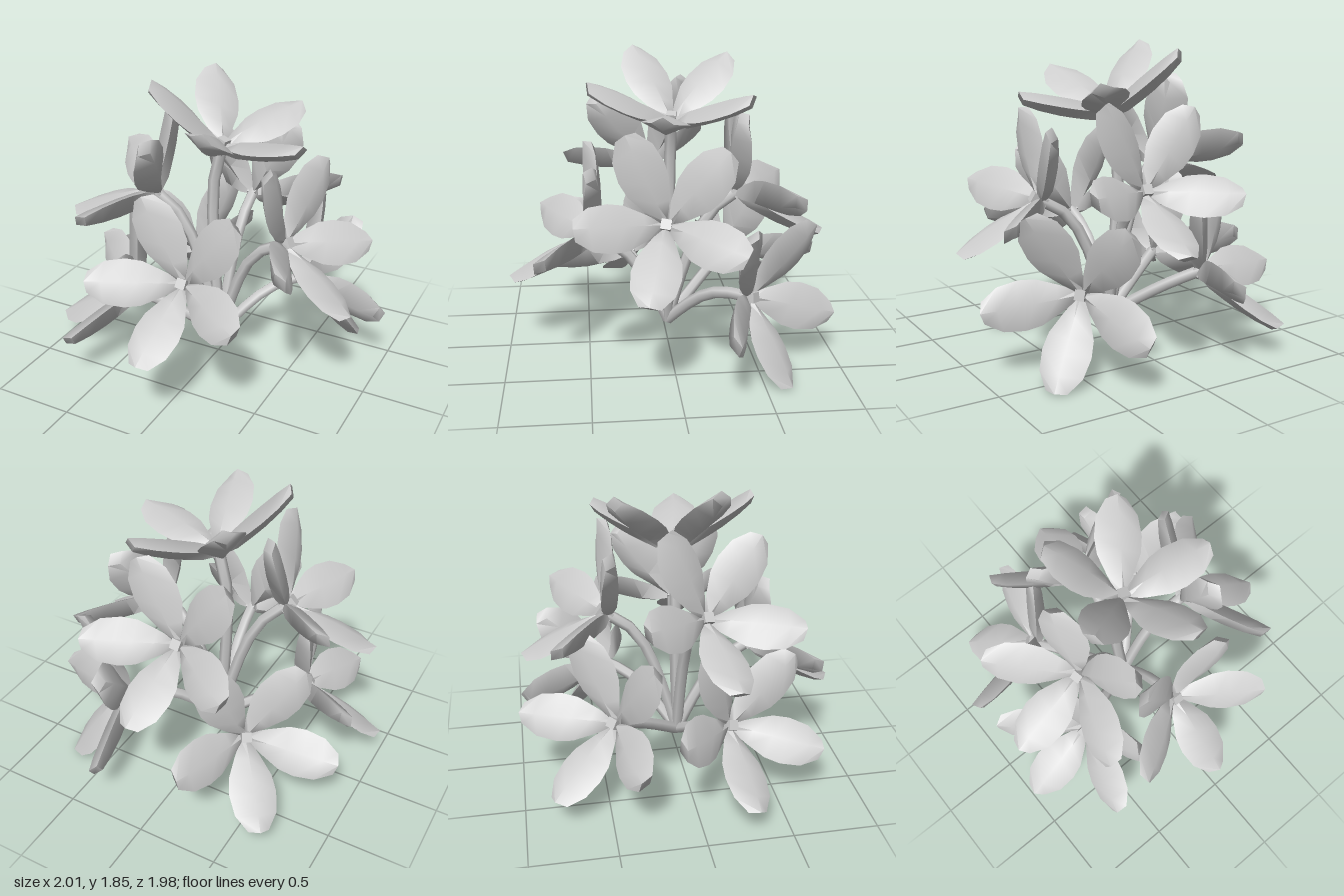
import * as THREE from 'three';
import { toCreasedNormals } from 'three/addons/utils/BufferGeometryUtils.js';

const material = new THREE.MeshStandardMaterial({ color: 0xcccccc, side: THREE.DoubleSide });
const BASE = new THREE.Vector3(0.01, 0.15, 0);

// Each flower: centre, facing axis, and the tip point that sets how it is turned
const FLOWERS = [
  { name: 'topFlower', centre: [0.01, 1.42, -0.02], axis: [0.3, 0.95, 0], tip: [0.53, 1.53, 0.075] },
  { name: 'frontFlower', centre: [0.02, 0.74, 0.46], axis: [0.04, 0.52, 0.85], tip: [-0.01, 0.43, 0.94] },
  { name: 'leftFlower', centre: [0.45, 0.915, 0.05], axis: [0.87, 0.48, 0.1], tip: [0.88, 0.585, 0.18] },
  { name: 'rightFlower', centre: [-0.385, 1.105, 0.09], axis: [-0.71, 0.65, 0.27], tip: [-0.91, 0.925, 0.18] },
  { name: 'backFlower', centre: [0.04, 0.995, -0.425], axis: [0, 0.56, -0.83], tip: [0.08, 0.745, -0.925] },
  { name: 'lowRightFlower', centre: [-0.475, 0.445, 0.22], axis: [-0.77, 0.5, 0.39], tip: [-0.97, 0.16, 0.285] },
  { name: 'lowBackRightFlower', centre: [-0.385, 0.475, -0.425], axis: [-0.62, 0.5, -0.62], tip: [-0.675, 0.155, -0.795] },
  { name: 'lowBackLeftFlower', centre: [0.44, 0.465, -0.425], axis: [0.7, 0.14, -0.69], tip: [0.72, 0.025, -0.625] },
];

// Solid petal along +x with a ridge above and a deeper keel below:
// [position along the petal, half width, ridge height, keel depth]
function petalGeometry() {
  const rows = [
    [0, 0.025, 0.03, 0.04], [0.2, 0.078, 0.045, 0.07], [0.42, 0.13, 0.05, 0.075],
    [0.6, 0.142, 0.05, 0.075], [0.82, 0.125, 0.048, 0.065], [1, 0.062, 0.04, 0.045],
  ];
  const positions = [];
  const index = [];
  rows.forEach(([t, half, ridge, keel], i) => {
    const x = 0.02 + 0.48 * t;
    const y = 0.015 + 0.255 * t;
    positions.push(x, y, -half, x, y + ridge, 0, x, y, half, x, y - keel, 0);
    if (i === 0) return;
    for (let j = 0; j < 4; j++) {
      const a = (i - 1) * 4 + j;
      const b = (i - 1) * 4 + ((j + 1) % 4);
      index.push(a, b, a + 4, b, b + 4, a + 4);
    }
  });
  // Blunt ends
  const last = (rows.length - 1) * 4;
  index.push(0, 2, 1, 0, 3, 2, last, last + 1, last + 2, last, last + 2, last + 3);
  const geometry = new THREE.BufferGeometry();
  geometry.setAttribute('position', new THREE.Float32BufferAttribute(positions, 3));
  geometry.setIndex(index);
  return toCreasedNormals(geometry, 1);
}

function addMesh(parent, name, geometry) {
  const mesh = new THREE.Mesh(geometry, material);
  mesh.name = name;
  parent.add(mesh);
  return mesh;
}

export function createModel() {
  const model = new THREE.Group();
  model.name = 'flowerCluster';
  const petal = petalGeometry();
  const heart = new THREE.BoxGeometry(0.06, 0.1, 0.06);

  for (const { name, centre, axis, tip } of FLOWERS) {
    const c = new THREE.Vector3(...centre);
    const up = new THREE.Vector3(...axis).normalize();
    const out = new THREE.Vector3(...tip).sub(c).projectOnPlane(up).normalize();
    const side = new THREE.Vector3().crossVectors(out, up);

    // Flower head: local y is the facing axis, local x the first petal
    const flower = new THREE.Group();
    flower.name = name;
    flower.position.copy(c);
    flower.quaternion.setFromRotationMatrix(new THREE.Matrix4().makeBasis(out, up, side));
    for (let i = 0; i < 5; i++) {
      addMesh(flower, 'petal', petal).rotation.y = (i * Math.PI * 2) / 5;
    }
    addMesh(flower, 'flowerCentre', heart).position.y = 0.02;
    model.add(flower);

    // Nearly straight stem with a bend just below the flower
    const bend = c.clone().addScaledVector(up, -0.29);
    bend.y += 0.03;
    const path = new THREE.CubicBezierCurve3(
      BASE, BASE.clone().lerp(bend, 0.85), bend.clone().lerp(c, 0.12), c);
    addMesh(model, 'stem', new THREE.TubeGeometry(path, 6, 0.036, 6, false));
  }
  return model;
}
